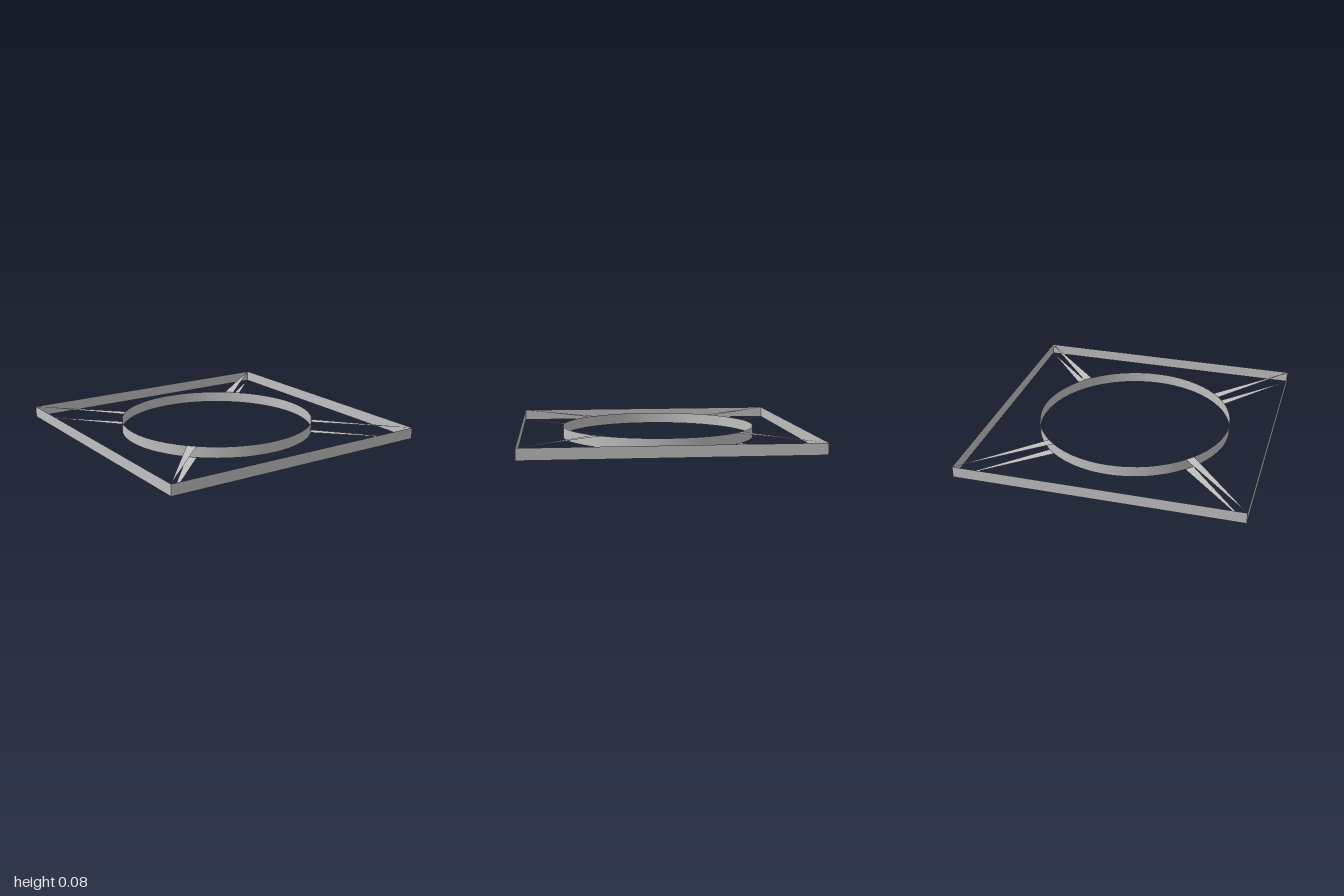
import * as THREE from 'three';

const HEIGHT = 0.08;
const RADIUS = 0.698;
const SEGMENTS = 64;

export function createModel() {
  const model = new THREE.Group();
  const grey = new THREE.MeshStandardMaterial({ color: 0xc0c0c0, side: THREE.DoubleSide });
  grey.name = 'grey';

  const add = (name, geometry) => {
    const mesh = new THREE.Mesh(geometry, grey);
    mesh.name = name;
    model.add(mesh);
    return mesh;
  };

  // Square outer frame: four thin upright walls
  for (let i = 0; i < 4; i++) {
    const wall = new THREE.PlaneGeometry(2, HEIGHT);
    wall.translate(0, HEIGHT / 2, 1).rotateY(i * Math.PI / 2);
    add('frameWall', wall);
  }

  // Thin round band in the middle
  const ring = new THREE.CylinderGeometry(RADIUS, RADIUS, HEIGHT, SEGMENTS, 1, true);
  ring.translate(0, HEIGHT / 2, 0);
  add('innerRing', ring);

  // Flat triangular spokes from each corner to one ring segment, on the top and bottom edges
  const step = 2 * Math.PI / SEGMENTS;
  [-1, 1, -1, -1].forEach((side, i) => {
    const angle = Math.PI / 4 + i * Math.PI / 2;
    const at = (r, a) => new THREE.Vector2(r * Math.cos(a), -r * Math.sin(a));
    const outline = new THREE.Shape([
      at(Math.SQRT2, angle),
      at(RADIUS, angle),
      at(RADIUS, angle + side * step),
    ]);
    for (const y of [0, HEIGHT]) {
      const spoke = new THREE.ShapeGeometry(outline);
      spoke.rotateX(-Math.PI / 2).translate(0, y, 0);
      add(y ? 'topSpoke' : 'bottomSpoke', spoke);
    }
  });

  return model;
}
